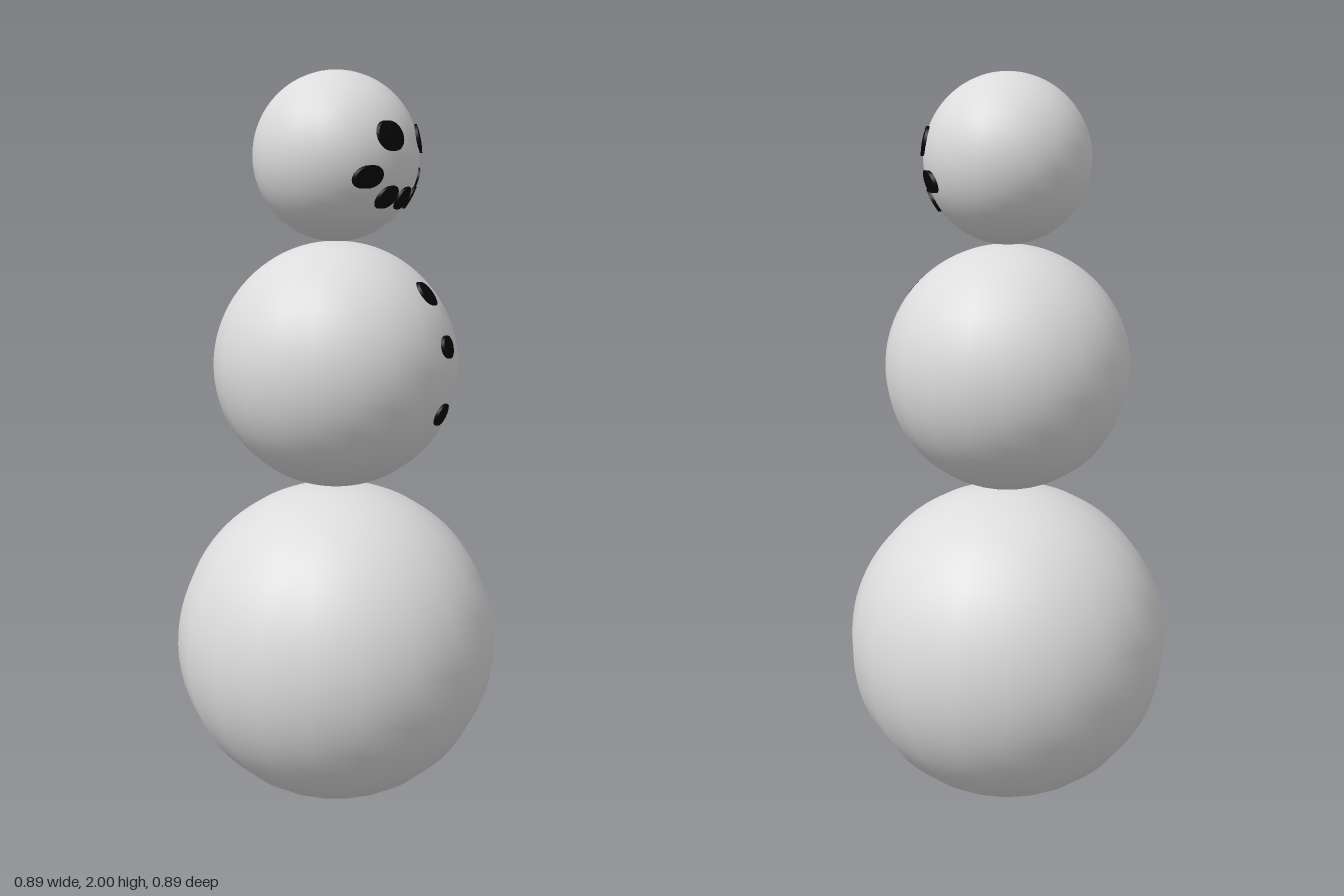
import * as THREE from 'three';

const snow = new THREE.MeshStandardMaterial({ color: 0xdcdcdc });
snow.name = 'snow';
const coal = new THREE.MeshStandardMaterial({ color: 0x060606 });
coal.name = 'coal';

const HEAD = { r: 0.223, y: 1.777 };
const TORSO = { r: 0.334, y: 1.222 };
const BASE = { r: 0.445, y: 0.445 };

// Snowball with 20 sides around and a finely rounded profile
function snowball(name, { r, y }) {
  const mesh = new THREE.Mesh(new THREE.SphereGeometry(r, 20, 48), snow);
  mesh.name = name;
  mesh.position.y = y;
  return mesh;
}

// Thin round piece of coal, curved to hug the +x side of a ball
function coalDisc(name, ball, y, z, radius) {
  const profile = [[radius, 0], [radius, 1], [radius, 1], [radius * 0.5, 1], [0, 1]];
  const geo = new THREE.LatheGeometry(profile.map(([a, b]) => new THREE.Vector2(a, b)), 24);
  const pos = geo.attributes.position;
  for (let i = 0; i < pos.count; i++) {
    const dy = y - ball.y + pos.getZ(i);
    const dz = z + pos.getX(i);
    const shell = ball.r + (pos.getY(i) > 0.5 ? 0.006 : -0.006);
    pos.setXYZ(i, Math.sqrt(shell * shell - dy * dy - dz * dz), dy + ball.y, dz);
  }
  geo.computeVertexNormals();
  const mesh = new THREE.Mesh(geo, coal);
  mesh.name = name;
  return mesh;
}

export function createModel() {
  const model = new THREE.Group();
  model.name = 'snowman';
  model.add(snowball('base', BASE), snowball('torso', TORSO), snowball('head', HEAD));

  // Face: eyes and mouth corners mirrored across z
  for (const [side, s] of [['left', -1], ['right', 1]]) {
    model.add(
      coalDisc(side + 'Eye', HEAD, 1.823, s * 0.085, 0.038),
      coalDisc(side + 'MouthCorner', HEAD, 1.72, s * 0.139, 0.029),
      coalDisc(side + 'MouthPiece', HEAD, 1.67, s * 0.069, 0.029)
    );
  }
  model.add(coalDisc('mouthCentre', HEAD, 1.668, 0, 0.029));

  // Buttons down the torso
  [1.422, 1.285, 1.105].forEach((y, i) => {
    model.add(coalDisc('button' + (i + 1), TORSO, y, 0, 0.03));
  });
  return model;
}
